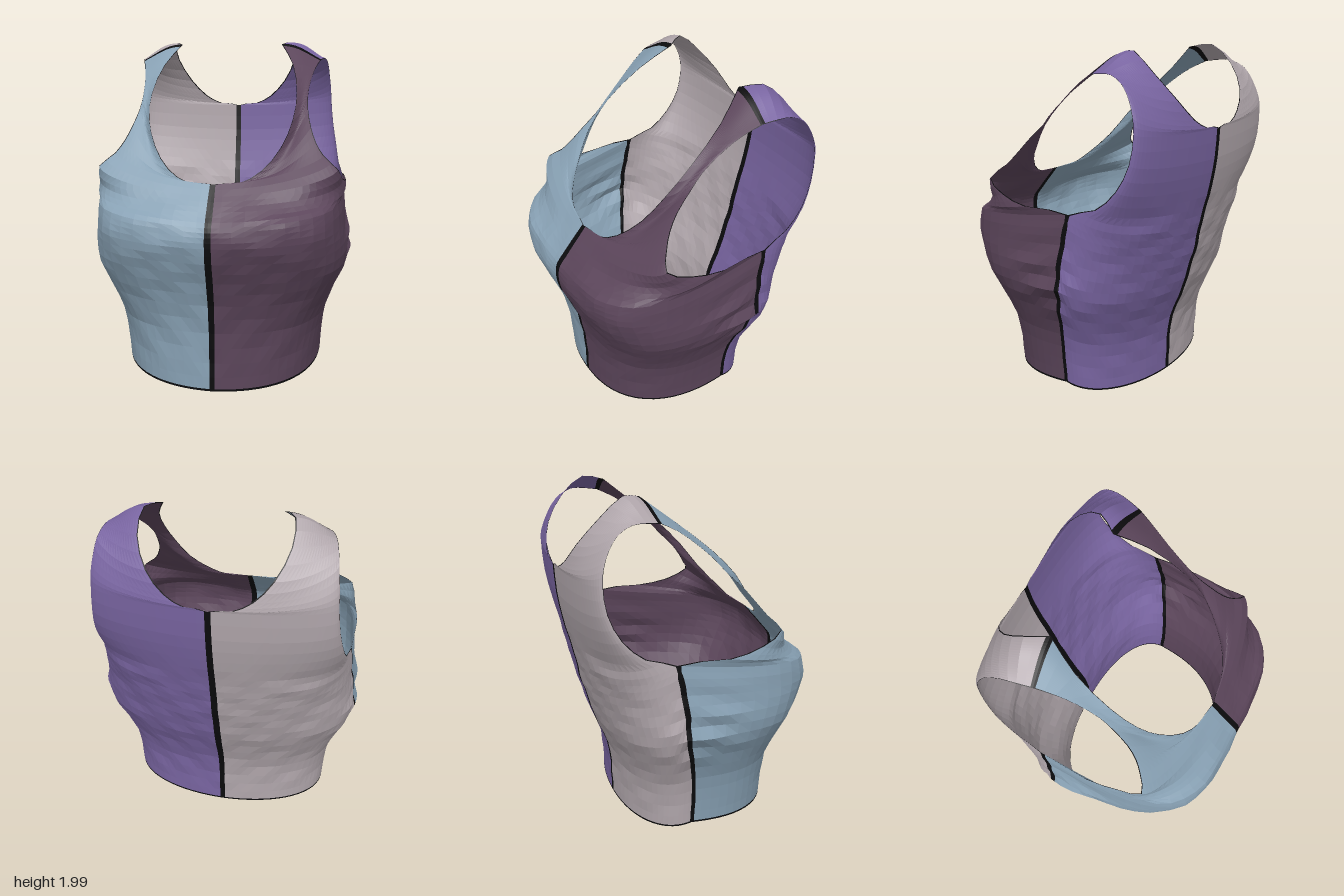
import * as THREE from 'three';

const V = (p) => new THREE.Vector3(...p);
const mat = (name, color) => new THREE.MeshStandardMaterial({ name, color, flatShading: true, side: THREE.DoubleSide });

// Rows run from the centre line or neckline (inner) to the side seam or armhole (outer).
// n is the squareness of the row's rounded corner: 1 is straight, 4 is boxy.
const sideSeam = [
  [0.605, 0.1, -0.1], [0.615, 0.25, -0.1], [0.64, 0.42, -0.11], [0.705, 0.6, -0.15],
  [0.755, 0.75, -0.19], [0.75, 0.88, -0.2], [0.735, 1.0, -0.21], [0.73, 1.1, -0.23], [0.72, 1.17, -0.24],
];

const front = {
  inner: [
    [0, 0.003, 0.56], [0, 0.17, 0.56], [0, 0.35, 0.565], [0, 0.52, 0.595], [0, 0.66, 0.64],
    [0, 0.78, 0.685], [0, 0.87, 0.71], [0, 0.93, 0.705], [0, 0.98, 0.69], [0, 1.03, 0.65],
    [0, 1.08, 0.605], [0, 1.13, 0.56],
    // neckline
    [0, 1.19, 0.51], [0.14, 1.195, 0.49], [0.26, 1.26, 0.44], [0.36, 1.38, 0.34],
    [0.42, 1.53, 0.23], [0.435, 1.68, 0.08], [0.4, 1.85, -0.13], [0.32, 1.98, -0.3],
  ],
  outer: [
    ...sideSeam,
    // armhole
    [0.735, 1.17, 0.05], [0.71, 1.2, 0.25], [0.68, 1.27, 0.385], [0.6, 1.34, 0.335], [0.555, 1.41, 0.285],
    [0.525, 1.49, 0.22], [0.505, 1.58, 0.125], [0.5, 1.66, 0.05], [0.515, 1.76, -0.07],
    [0.54, 1.83, -0.17], [0.57, 1.88, -0.27],
  ],
  n: [2.4, 2.5, 2.7, 3.1, 3.5, 3.8, 4, 4.1, 4.2, 2.9, 2.2, 1.7, 1.45, 1.3, 1.2, 1.1, 1.1, 1.1, 1.1, 1.1],
  shoulder: 0.005,
};

const back = {
  inner: [
    [0, 0.035, -0.4], [0, 0.17, -0.4], [0, 0.32, -0.41], [0, 0.47, -0.45], [0, 0.61, -0.505],
    [0, 0.73, -0.54], [0, 0.84, -0.57], [0, 0.94, -0.59], [0, 1.03, -0.61], [0, 1.13, -0.635],
    [0, 1.26, -0.665], [0, 1.41, -0.69],
    // neckline
    [0, 1.58, -0.7], [0.12, 1.595, -0.7], [0.22, 1.645, -0.685], [0.32, 1.75, -0.645],
    [0.39, 1.89, -0.54], [0.385, 1.995, -0.41], [0.32, 1.98, -0.3],
  ],
  outer: [
    ...sideSeam,
    // armhole
    [0.7, 1.22, -0.4], [0.683, 1.33, -0.52], [0.66, 1.47, -0.585], [0.645, 1.62, -0.6], [0.64, 1.7, -0.59],
    [0.63, 1.78, -0.56], [0.62, 1.85, -0.51], [0.605, 1.89, -0.43], [0.59, 1.89, -0.35], [0.57, 1.88, -0.27],
  ],
  n: [2.2, 2.2, 2.2, 2.2, 2.2, 2.2, 2.3, 2.5, 2.8, 2.1, 2, 2, 2, 1.9, 1.7, 1.5, 1.3, 1.1, 1.1],
  shoulder: 0.009,
};

// Evenly spaced stops with a thin band at each end for the seams
function stops(count, first, last) {
  const list = [0, first];
  for (let i = 1; i < count; i++) list.push(i / count);
  return [...list, 1 - last, 1];
}

// Gentle cloth unevenness, and folds gathered below the armhole
function crumple(p) {
  const fold = Math.exp(-(((p.y - 0.75) / 0.2) ** 2) - ((p.z + 0.05) / 0.2) ** 2);
  const side = THREE.MathUtils.smoothstep(p.x, 0.55, 0.7);
  p.x += side * fold * (0.01 + 0.02 * Math.sin(38 * p.y + 11 * p.z));
  const body = THREE.MathUtils.smoothstep(p.y, 0.05, 0.2) * (1 - THREE.MathUtils.smoothstep(p.y, 1.0, 1.3));
  p.z += body * 0.005 * Math.sin(21 * p.x + 9 * p.y) * Math.sin(27 * p.y - 8 * p.x);
  return p;
}

function panelGeometry({ inner, outer, n, shoulder }, flip, mirror) {
  const inCurve = new THREE.CatmullRomCurve3(inner.map(V));
  const outCurve = new THREE.CatmullRomCurve3(outer.map(V));
  const us = stops(18, 0.016, 0.016);
  const vs = stops(2 * (n.length - 1), 0.004, shoulder);
  const positions = [];
  for (const v of vs) {
    const a = inCurve.getPoint(v), b = outCurve.getPoint(v);
    a.x = Math.max(0, a.x);
    const k = v * (n.length - 1), i = Math.min(Math.floor(k), n.length - 2);
    const e = THREE.MathUtils.lerp(n[i], n[i + 1], k - i);
    for (const u of us) {
      // rounded-corner sweep from inner to outer edge
      const s = Math.sin(u * Math.PI / 2), c = Math.max(0, Math.cos(u * Math.PI / 2));
      const r = (s ** e + c ** e) ** (-1 / e);
      const p = crumple(new THREE.Vector3(
        a.x + (b.x - a.x) * s * r,
        a.y + (b.y - a.y) * u ** 1.5,
        b.z + (a.z - b.z) * c * r,
      ));
      positions.push(p.x * mirror, p.y, p.z);
    }
  }
  // border cells are seam, the rest is cloth
  const cloth = [], seam = [];
  const w = us.length, h = vs.length;
  for (let j = 0; j < h - 1; j++) {
    for (let i = 0; i < w - 1; i++) {
      const edge = i === 0 || j === 0 || i === w - 2 || j === h - 2;
      const a = j * w + i, b = a + 1, c = b + w, d = a + w;
      (edge ? seam : cloth).push(...(flip ? [a, c, b, a, d, c] : [a, b, c, a, c, d]));
    }
  }
  const g = new THREE.BufferGeometry();
  g.setAttribute('position', new THREE.Float32BufferAttribute(positions, 3));
  g.setIndex([...cloth, ...seam]);
  g.addGroup(0, cloth.length, 0);
  g.addGroup(cloth.length, seam.length, 1);
  g.computeVertexNormals();
  return g;
}

export function createModel() {
  const group = new THREE.Group();
  group.name = 'sleevelessTop';
  const seamBlack = mat('seam black', 0x0b0b0d);
  const panels = [
    ['frontLeftPanel', front, 1, mat('plum', 0x5b455a)],
    ['frontRightPanel', front, -1, mat('dusty blue', 0x88a1b4)],
    ['backLeftPanel', back, 1, mat('violet', 0x7864a0)],
    ['backRightPanel', back, -1, mat('warm grey', 0xb0a6ab)],
  ];
  for (const [name, shape, mirror, cloth] of panels) {
    const flip = (shape === front ? 1 : -1) * mirror < 0;
    const mesh = new THREE.Mesh(panelGeometry(shape, flip, mirror), [cloth, seamBlack]);
    mesh.name = name;
    group.add(mesh);
  }
  return group;
}
